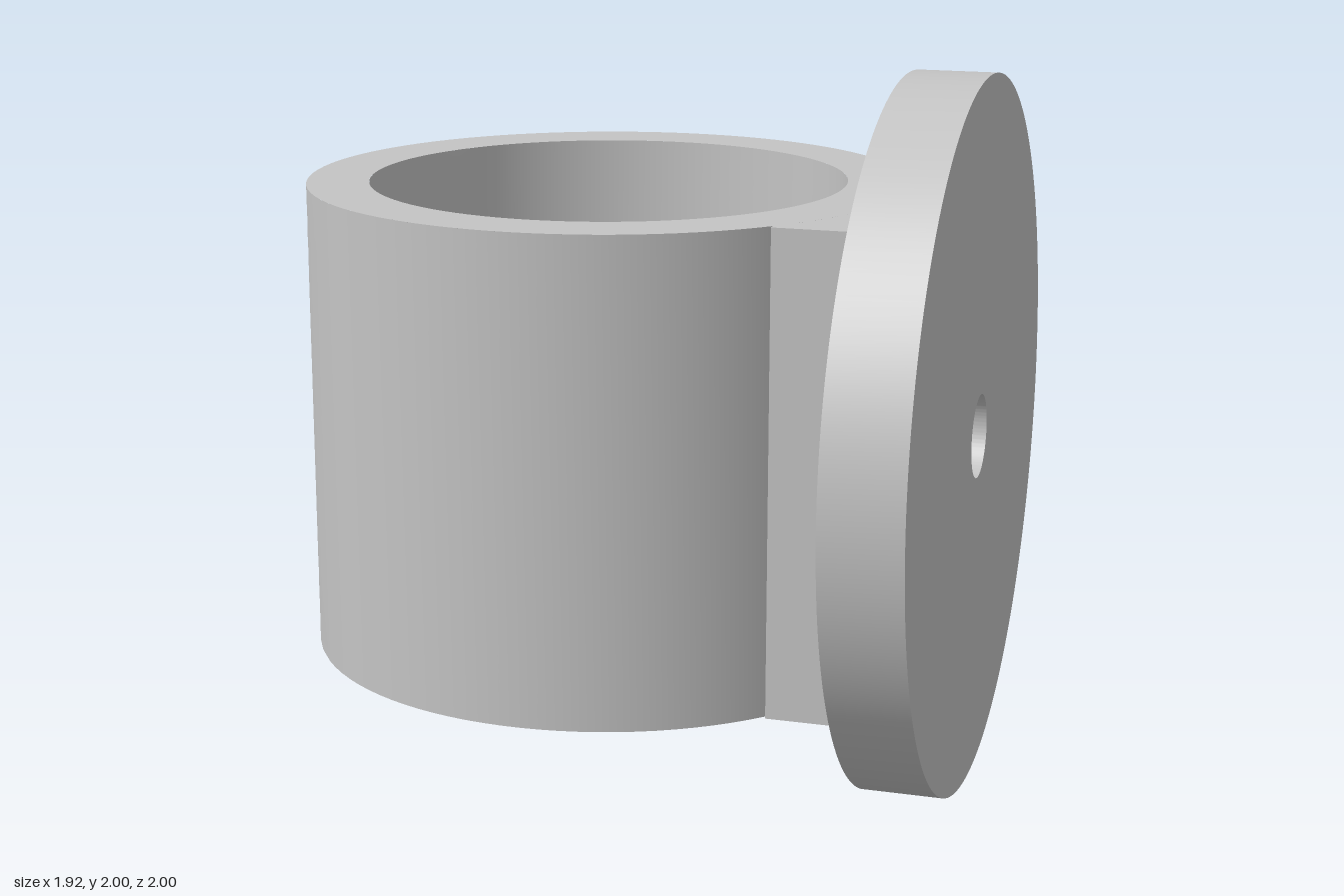
import * as THREE from 'three';
import { toCreasedNormals } from 'three/addons/utils/BufferGeometryUtils.js';

const CX = -0.115, OUTER = 0.848, INNER = 0.673; // sleeve axis and radii
const MID = 1.0025, HALF = 0.6675;               // sleeve mid height and half height
const SIDE_HOLE = 0.096, DISC_HOLE = 0.117;

// Surface from a rule f(u, v) with u and v in 0..1; front side is du x dv
function sheet(f, nu, nv, flip = false) {
  const pos = [], idx = [];
  for (let j = 0; j <= nv; j++)
    for (let i = 0; i <= nu; i++) pos.push(...f(i / nu, j / nv));
  for (let j = 0; j < nv; j++)
    for (let i = 0; i < nu; i++) {
      const a = j * (nu + 1) + i, b = a + 1, c = a + nu + 1, d = c + 1;
      if (flip) idx.push(a, c, b, b, c, d);
      else idx.push(a, b, c, b, d, c);
    }
  const g = new THREE.BufferGeometry();
  g.setAttribute('position', new THREE.Float32BufferAttribute(pos, 3));
  g.setIndex(idx);
  g.computeVertexNormals();
  return g;
}

// Point on the sleeve wall; the angle is measured from the -x side
const onWall = (angle, y, r) => [CX - r * Math.cos(angle), MID + y, r * Math.sin(angle)];
const holeAngle = (t, r) => Math.asin(SIDE_HOLE * Math.cos(t) / r);

// Plain part of the wall
const plainWall = (r, flip) => sheet((u, v) =>
  onWall(HALF + u * (2 * Math.PI - 2 * HALF), (2 * v - 1) * HALF, r), 80, 1, flip);

// Part of the wall around the side hole, spreading from the hole to a square border
const piercedWall = (r, flip) => sheet((u, v) => {
  const t = -u * 2 * Math.PI, c = Math.cos(t), s = Math.sin(t);
  const k = HALF / Math.max(Math.abs(c), Math.abs(s));
  return onWall(
    THREE.MathUtils.lerp(holeAngle(t, r), k * c, v),
    THREE.MathUtils.lerp(SIDE_HOLE * s, k * s, v), r);
}, 64, 12, flip);

// Lining of the side hole, from the outer wall to the bore
const holeLining = () => sheet((u, v) => {
  const t = u * 2 * Math.PI, r = v < 0.5 ? OUTER : INNER;
  return onWall(holeAngle(t, r), SIDE_HOLE * Math.sin(t), r);
}, 64, 1);

export function createModel() {
  const model = new THREE.Group();
  const grey = new THREE.MeshStandardMaterial({ color: 0xc4c4c4 });
  grey.name = 'grey';
  const add = (name, geometry, parent = model) => {
    const mesh = new THREE.Mesh(geometry, grey);
    mesh.name = name;
    parent.add(mesh);
    return mesh;
  };

  // Upright sleeve with a small side hole
  const sleeve = new THREE.Group();
  sleeve.name = 'sleeve';
  model.add(sleeve);
  add('outerWall', plainWall(OUTER, false), sleeve);
  add('outerWallAroundHole', piercedWall(OUTER, false), sleeve);
  add('boreWall', plainWall(INNER, true), sleeve);
  add('boreWallAroundHole', piercedWall(INNER, true), sleeve);
  add('sideHole', holeLining(), sleeve);
  for (const [name, side] of [['topRim', 1], ['bottomRim', -1]]) {
    const rim = add(name, new THREE.RingGeometry(INNER, OUTER, 96), sleeve);
    rim.rotation.x = -side * Math.PI / 2;
    rim.position.set(CX, MID + side * HALF, 0);
  }

  // Block joining sleeve and disc, hollowed to fit the sleeve
  const x0 = 0.51, x1 = 0.737, w = 0.592;
  const a = Math.acos((x0 - CX) / OUTER);
  const outline = new THREE.Shape();
  outline.moveTo(x0, -w);
  outline.lineTo(x1, -w);
  outline.lineTo(x1, w);
  outline.lineTo(x0, w);
  outline.absarc(CX, 0, OUTER, a, -a, true);
  outline.closePath();
  const block = new THREE.ExtrudeGeometry(outline,
    { depth: 2 * HALF, bevelEnabled: false, curveSegments: 24 });
  block.rotateX(-Math.PI / 2);
  block.translate(0, MID - HALF, 0);
  add('mountingBlock', block);

  // Round end disc with a centre hole
  const round = new THREE.Shape().absarc(0, 0, 1, 0, Math.PI * 2, false);
  round.holes.push(new THREE.Path().absarc(0, 0, DISC_HOLE, 0, Math.PI * 2, true));
  const disc = new THREE.ExtrudeGeometry(round,
    { depth: 0.96 - x1, bevelEnabled: false, curveSegments: 96 });
  disc.rotateY(Math.PI / 2);
  disc.translate(x1, 1, 0);
  add('endDisc', toCreasedNormals(disc, 0.6));

  return model;
}
